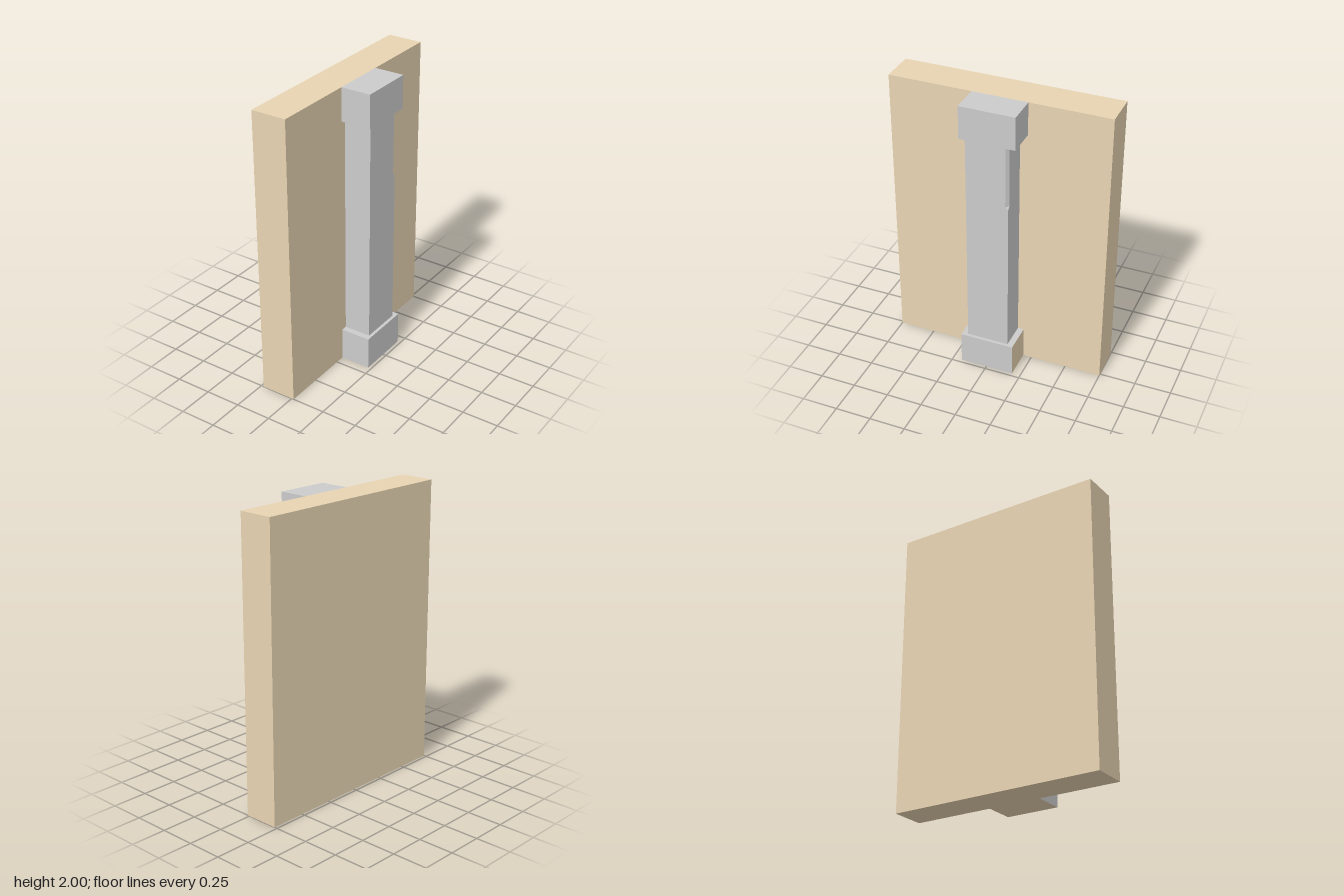
import * as THREE from 'three';

const stone = new THREE.MeshStandardMaterial({ color: 0xcccccc });
const tan = new THREE.MeshStandardMaterial({ color: 0xe8d4b2 });

// Box given by its limits on each axis
function block(name, [x0, x1], [y0, y1], [z0, z1], material) {
  const mesh = new THREE.Mesh(new THREE.BoxGeometry(x1 - x0, y1 - y0, z1 - z0), material);
  mesh.position.set((x0 + x1) / 2, (y0 + y1) / 2, (z0 + z1) / 2);
  mesh.name = name;
  return mesh;
}

// Shaft lofted through [height, chamfer] levels; one outer corner is cut
function shaftGeometry([x0, x1], [z0, z1], levels) {
  const rings = levels.map(([y, c]) => [
    [x0, z1], [x1, z1], [x1, z0 + c], [x1 - c, z0], [x0, z0],
  ].map(([x, z]) => new THREE.Vector3(x, y, z)));
  const points = [];
  const addTriangle = (a, b, c) => {
    if (!a.equals(b) && !b.equals(c) && !c.equals(a)) points.push(a, b, c);
  };
  for (let i = 0; i < rings.length - 1; i++) {
    for (let j = 0; j < 5; j++) {
      const k = (j + 1) % 5;
      const low = rings[i], high = rings[i + 1];
      addTriangle(low[j], low[k], high[k]);
      addTriangle(low[j], high[k], high[j]);
    }
  }
  const geometry = new THREE.BufferGeometry().setFromPoints(points);
  geometry.computeVertexNormals();
  return geometry;
}

export function createModel() {
  const model = new THREE.Group();
  model.name = 'wallWithPilaster';

  // Wall slab
  model.add(block('wall', [-0.23, 0.015], [0, 2], [-0.75, 0.75], tan));

  // Pilaster base: underside and back share the wall colour
  model.add(block('pilasterBase', [0.015, 0.227], [0, 0.23], [-0.19, 0.185],
    [stone, stone, stone, tan, stone, tan]));

  // Shaft with a stopped chamfer near the top
  const shaft = new THREE.Mesh(shaftGeometry([0.015, 0.205], [-0.148, 0.143],
    [[0.23, 0], [1.315, 0], [1.335, 0.02], [1.772, 0.02]]), stone);
  shaft.name = 'pilasterShaft';
  model.add(shaft);

  // Pilaster capital
  model.add(block('pilasterCapital', [0.015, 0.223], [1.772, 2], [-0.2, 0.178], stone));

  return model;
}
